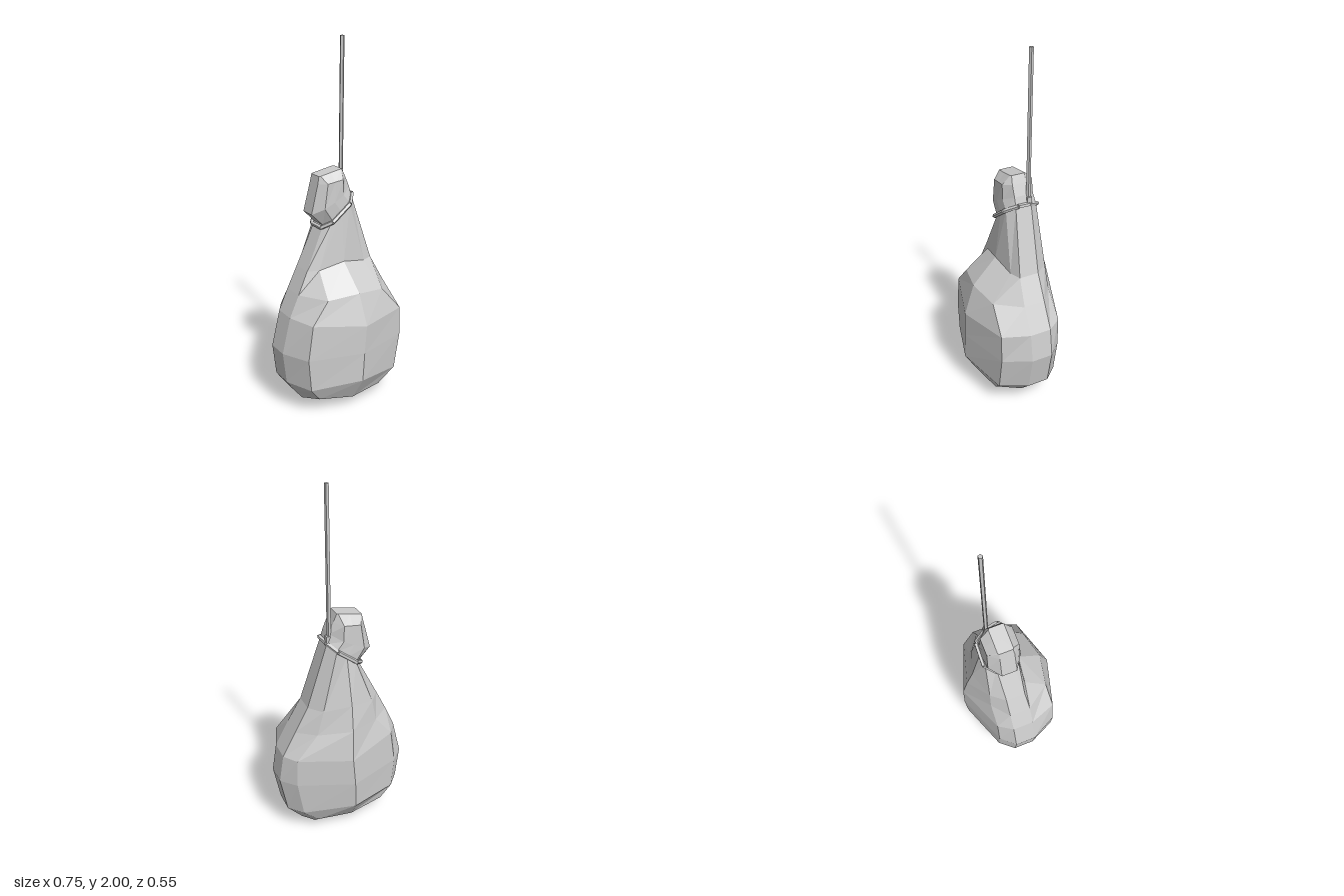
import * as THREE from 'three';

const material = new THREE.MeshStandardMaterial({ color: 0xcccccc, flatShading: true });

// One ten-sided ring: left and right edge points, corner width factor,
// side z (front, back), front corner and middle z, back corner and middle z, lift of the middle.
function ring([xL, yL, xR, yR, k, sF, sB, fC, fM, bC, bM, lift]) {
  const at = (t, z, up = 0) => new THREE.Vector3(
    (xL + xR) / 2 + t * (xR - xL) / 2, (yL + yR) / 2 + t * (yR - yL) / 2 + up, z);
  return [
    at(1, sF), at(k, fC), at(0, fM, lift), at(-k, fC), at(-1, sF),
    at(-1, sB), at(-k, bC), at(0, bM, lift), at(k, bC), at(1, sB),
  ];
}

// Faceted skin through the rings, closed at both ends
function loft(sections) {
  const rings = sections.map(ring);
  const points = [];
  const n = rings[0].length;
  for (let r = 0; r < rings.length - 1; r++) {
    const a = rings[r], b = rings[r + 1];
    for (let i = 0; i < n; i++) {
      const j = (i + 1) % n;
      points.push(a[i], b[i], a[j], b[i], b[j], a[j]);
    }
  }
  const cap = (loop, top) => {
    const c = new THREE.Vector3();
    loop.forEach((p) => c.addScaledVector(p, 1 / n));
    for (let i = 0; i < n; i++) {
      const j = (i + 1) % n;
      points.push(c, loop[top ? j : i], loop[top ? i : j]);
    }
  };
  cap(rings[0], false);
  cap(rings[rings.length - 1], true);
  const geometry = new THREE.BufferGeometry().setFromPoints(points);
  geometry.computeVertexNormals();
  return geometry;
}

// Straight piece of cord between two points
function cord(name, a, b, radius, sides) {
  const geometry = new THREE.CylinderGeometry(radius, radius, a.distanceTo(b), sides);
  const mesh = new THREE.Mesh(geometry, material);
  mesh.name = name;
  mesh.position.copy(a).add(b).multiplyScalar(0.5);
  mesh.quaternion.setFromUnitVectors(new THREE.Vector3(0, 1, 0), b.clone().sub(a).normalize());
  return mesh;
}

export function createModel() {
  const model = new THREE.Group();
  model.name = 'hangingHam';

  // Meat: wide belly, tapering shank
  const ham = new THREE.Mesh(loft([
    [-0.26, 0.05, 0.17, 0.00, 0.70, 0.04, -0.08, 0.04, 0.04, -0.08, -0.08, -0.025],
    [-0.30, 0.10, 0.25, 0.06, 0.72, 0.04, -0.08, 0.17, 0.20, -0.15, -0.17, -0.02],
    [-0.355, 0.18, 0.335, 0.15, 0.80, 0.04, -0.08, 0.19, 0.275, -0.16, -0.265, 0.03],
    [-0.375, 0.36, 0.375, 0.36, 0.80, 0.04, -0.08, 0.19, 0.275, -0.16, -0.275, 0],
    [-0.325, 0.56, 0.35, 0.52, 0.84, 0.04, -0.08, 0.19, 0.275, -0.16, -0.27, -0.02],
    [-0.27, 0.68, 0.275, 0.66, 0.64, 0.04, -0.08, 0.18, 0.215, -0.16, -0.24, 0.02],
    [-0.21, 0.80, 0.20, 0.80, 0.70, 0.03, -0.08, 0.055, 0.075, -0.155, -0.205, 0.03],
    [-0.09, 1.03, 0.09, 1.17, 0.60, 0.00, -0.09, 0.04, 0.045, -0.14, -0.145, 0],
  ]), material);
  ham.name = 'ham';
  model.add(ham);

  // Knuckle end above the tie
  const knuckle = new THREE.Mesh(loft([
    [-0.09, 1.03, 0.09, 1.17, 0.60, 0.00, -0.09, 0.04, 0.045, -0.14, -0.145, 0],
    [-0.16, 1.10, 0.075, 1.22, 0.50, 0.00, -0.085, 0.04, 0.045, -0.14, -0.14, 0],
    [-0.12, 1.26, 0.05, 1.28, 0.55, 0.00, -0.08, 0.04, 0.04, -0.135, -0.135, 0],
    [-0.11, 1.30, 0.03, 1.325, 0.90, -0.005, -0.08, 0.00, 0.00, -0.085, -0.085, 0],
  ]), material);
  knuckle.name = 'knuckle';
  model.add(knuckle);

  // Tilted cord loop around the shank
  const tie = new THREE.Group();
  tie.name = 'tie';
  const loop = [
    [0.10, -0.01], [0.05, 0.05], [-0.06, 0.052], [-0.105, 0.005],
    [-0.105, -0.09], [-0.055, -0.148], [0.05, -0.148], [0.09, -0.08],
  ].map(([x, z]) => new THREE.Vector3(x, 1.025 + (x + 0.1) * 0.76, z));
  loop.forEach((p, i) => tie.add(cord('tieSegment', p, loop[(i + 1) % loop.length], 0.012, 5)));
  model.add(tie);

  // Small knot and the long hanging cord
  const knot = new THREE.Mesh(new THREE.BoxGeometry(0.026, 0.04, 0.026), material);
  knot.name = 'knot';
  knot.position.set(0.08, 1.19, -0.08);
  model.add(knot);
  model.add(cord('hangingCord', new THREE.Vector3(0.073, 1.17, -0.08), new THREE.Vector3(0.082, 2, -0.08), 0.012, 5));

  return model;
}
